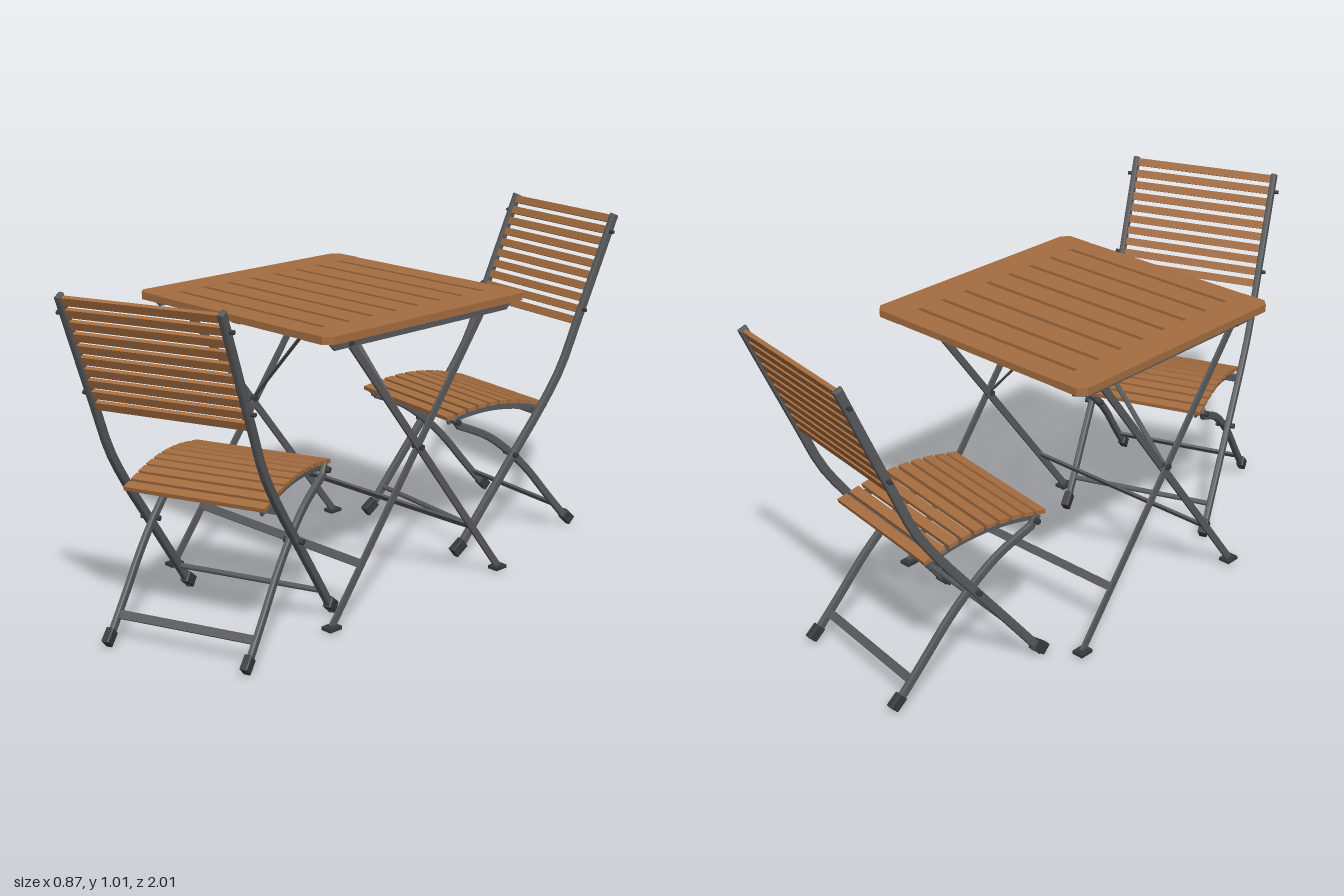
import * as THREE from 'three';

const wood = new THREE.MeshStandardMaterial({ color: 0xa56d40 });
wood.name = 'wood';
const metal = new THREE.MeshStandardMaterial({ color: 0x58595b });
metal.name = 'metal';
const bolt = new THREE.MeshStandardMaterial({ color: 0x38393b });
bolt.name = 'boltMetal';

function add(parent, name, geometry, material, x = 0, y = 0, z = 0) {
  const mesh = new THREE.Mesh(geometry, material);
  mesh.name = name;
  mesh.position.set(x, y, z);
  parent.add(mesh);
  return mesh;
}

const box = (w, h, d) => new THREE.BoxGeometry(w, h, d);

const curveOf = (points) =>
  new THREE.CatmullRomCurve3(points.map(([z, y]) => new THREE.Vector3(z, y, 0)));

// Flat bar that follows a path of [z, y] points, with its width along x
function bar(points, thickness, width, bevel = 0, smooth = true) {
  const path = smooth ? curveOf(points).getSpacedPoints(20)
    : points.map(([z, y]) => new THREE.Vector3(z, y, 0));
  const half = thickness / 2 - bevel;
  const upper = [], lower = [];
  path.forEach((p, i) => {
    const a = path[Math.max(i - 1, 0)], b = path[Math.min(i + 1, path.length - 1)];
    const t = b.clone().sub(a).normalize();
    upper.push(new THREE.Vector2(p.x - t.y * half, p.y + t.x * half));
    lower.unshift(new THREE.Vector2(p.x + t.y * half, p.y - t.x * half));
  });
  const depth = width - 2 * bevel;
  const geo = new THREE.ExtrudeGeometry(new THREE.Shape([...lower, ...upper]), {
    depth, bevelEnabled: bevel > 0, bevelSize: bevel, bevelThickness: bevel, bevelSegments: 2,
  });
  return geo.translate(0, 0, -depth / 2).rotateY(-Math.PI / 2);
}

// Cylinder lying along x
const pin = (radius, length) =>
  new THREE.CylinderGeometry(radius, radius, length, 12).rotateZ(Math.PI / 2);

function createChair(name) {
  const chair = new THREE.Group();
  chair.name = name;

  const longLeg = [[0.292, 0.008], [0.2, 0.125], [0.077, 0.28], [-0.03, 0.415],
    [-0.108, 0.53], [-0.168, 0.665], [-0.24, 0.83], [-0.31, 0.992]];
  const shortLeg = [[-0.18, 0.008], [-0.09, 0.11], [0, 0.215], [0.077, 0.288],
    [0.16, 0.35], [0.23, 0.385], [0.285, 0.41], [0.295, 0.43]];
  const seatPath = [[-0.058, 0.418], [0.04, 0.443], [0.14, 0.454], [0.23, 0.45], [0.31, 0.437]];

  for (const s of [-1, 1]) {
    add(chair, 'longLeg', bar(longLeg, 0.026, 0.018, 0.005), metal, s * 0.232);
    add(chair, 'curvedLeg', bar(shortLeg, 0.024, 0.016, 0.005), metal, s * 0.212);
    add(chair, 'seatRail', bar(seatPath.map(([z, y]) => [z, y - 0.016]), 0.022, 0.008),
      metal, s * 0.196);
    // Foot caps
    add(chair, 'longLegFoot', bar([[0.304, 0.008], [0.272, 0.033]], 0.034, 0.026, 0.004, false),
      bolt, s * 0.232);
    add(chair, 'curvedLegFoot', bar([[-0.188, 0.008], [-0.162, 0.033]], 0.032, 0.024, 0.004, false),
      bolt, s * 0.212);
    // Pivots and backrest bolts
    add(chair, 'pivotBolt', pin(0.008, 0.06), bolt, s * 0.224, 0.283, 0.077);
    add(chair, 'seatHinge', pin(0.009, 0.045), bolt, s * 0.208, 0.42, 0.29);
    for (const [z, y] of [[-0.29, 0.945], [-0.187, 0.71]])
      add(chair, 'backrestBolt', pin(0.006, 0.024), bolt, s * 0.242, y, z);
  }

  // Cross bars
  add(chair, 'seatSupportBar', box(0.45, 0.022, 0.014), metal, 0, 0.403, -0.025);
  add(chair, 'rearFootBar', box(0.42, 0.024, 0.008), metal, 0, 0.07, -0.127).rotation.x = 0.7;
  add(chair, 'frontFootBar', pin(0.008, 0.45), metal, 0, 0.08, 0.237);

  // Curved slatted seat
  const seat = curveOf(seatPath);
  for (let i = 0; i < 10; i++) {
    const p = seat.getPointAt(i / 9), t = seat.getTangentAt(i / 9);
    add(chair, 'seatSlat', box(0.43, 0.012, 0.031), wood, 0, p.y, p.x)
      .rotation.x = -Math.atan2(t.y, t.x);
  }

  // Slatted backrest
  const tilt = -0.412;
  for (let i = 0; i < 10; i++) {
    const y = 0.674 + i * 0.0341;
    add(chair, 'backrestSlat', box(0.448, 0.024, 0.012), wood, 0, y, -0.168 - (y - 0.665) * 0.435)
      .rotation.x = tilt;
  }
  return chair;
}

function createTable() {
  const table = new THREE.Group();
  table.name = 'table';

  // End boards with clipped outer corners
  for (const s of [-1, 1]) {
    const c = 0.022;
    const outline = [[0.302, -0.4], [0.4 - c, -0.4], [0.4, -0.4 + c], [0.4, 0.4 - c],
      [0.4 - c, 0.4], [0.302, 0.4]].map(([x, z]) => new THREE.Vector2(x, z));
    const geo = new THREE.ExtrudeGeometry(new THREE.Shape(outline), { depth: 0.022, bevelEnabled: false });
    geo.rotateX(-Math.PI / 2);
    if (s < 0) geo.rotateY(Math.PI);
    add(table, 'tabletopEndBoard', geo, wood, 0, 0.83, 0);
  }
  for (let i = 0; i < 9; i++)
    add(table, 'tabletopSlat', box(0.604, 0.02, 0.076), wood, 0, 0.841, -0.362 + i * 0.0905);

  add(table, 'centreBar', box(0.034, 0.012, 0.74), metal, 0, 0.824, 0);

  for (const s of [-1, 1]) {
    // Angle rail with clipped ends
    const rail = new THREE.Shape([[-0.345, 0.803], [0.345, 0.803], [0.36, 0.818], [0.36, 0.83],
      [-0.36, 0.83], [-0.36, 0.818]].map(([z, y]) => new THREE.Vector2(z, y)));
    const railGeo = new THREE.ExtrudeGeometry(rail, { depth: 0.006, bevelEnabled: false });
    add(table, 'tableRail', railGeo.rotateY(-Math.PI / 2), metal, s * 0.366 + 0.003);
    add(table, 'tableRailFlange', box(0.034, 0.005, 0.72), metal, s * 0.352, 0.8275, 0);

    // Crossed legs
    const legs = [
      { x: s * 0.358, top: 0.285, foot: -0.345 },
      { x: s * 0.344, top: -0.275, foot: 0.335 },
    ];
    for (const { x, top, foot } of legs) {
      add(table, 'tableLeg', bar([[foot, 0.008], [top, 0.82]], 0.021, 0.008, 0, false), metal, x);
      add(table, 'tableFoot', box(0.036, 0.01, 0.045), bolt, x, 0.005, foot);
      add(table, 'legTopBolt', pin(0.008, 0.034), bolt, x, 0.814, top);
    }
    add(table, 'tablePivot', pin(0.009, 0.036), bolt, s * 0.352, 0.46, 0.003);

    // Diagonal brace to the centre bar
    const dx = 0.33, dy = 0.352;
    const brace = add(table, 'diagonalBrace', box(Math.hypot(dx, dy), 0.004, 0.016), metal,
      s * 0.18, 0.641, 0.003);
    brace.rotation.z = -s * Math.atan2(dy, dx);
  }

  // Lower stretchers between matching legs
  const tilt = Math.atan2(0.62, 0.812);
  for (const [z, dir, w] of [[-0.227, 1, 0.72], [0.221, -1, 0.692]])
    add(table, 'stretcher', box(w, 0.024, 0.008), metal, 0, 0.163, z).rotation.x = dir * tilt;

  return table;
}

export function createModel() {
  const model = new THREE.Group();
  model.name = 'foldingPatioSet';

  const table = createTable();
  table.position.set(-0.03, 0, 0.025);

  const backChair = createChair('backChair');
  backChair.position.set(-0.02, 0, -0.647);
  backChair.rotation.y = -0.16;

  const frontChair = createChair('frontChair');
  frontChair.position.set(0.1, 0, 0.621);
  frontChair.rotation.y = Math.PI + 0.36;

  model.add(table, backChair, frontChair);
  return model;
}
